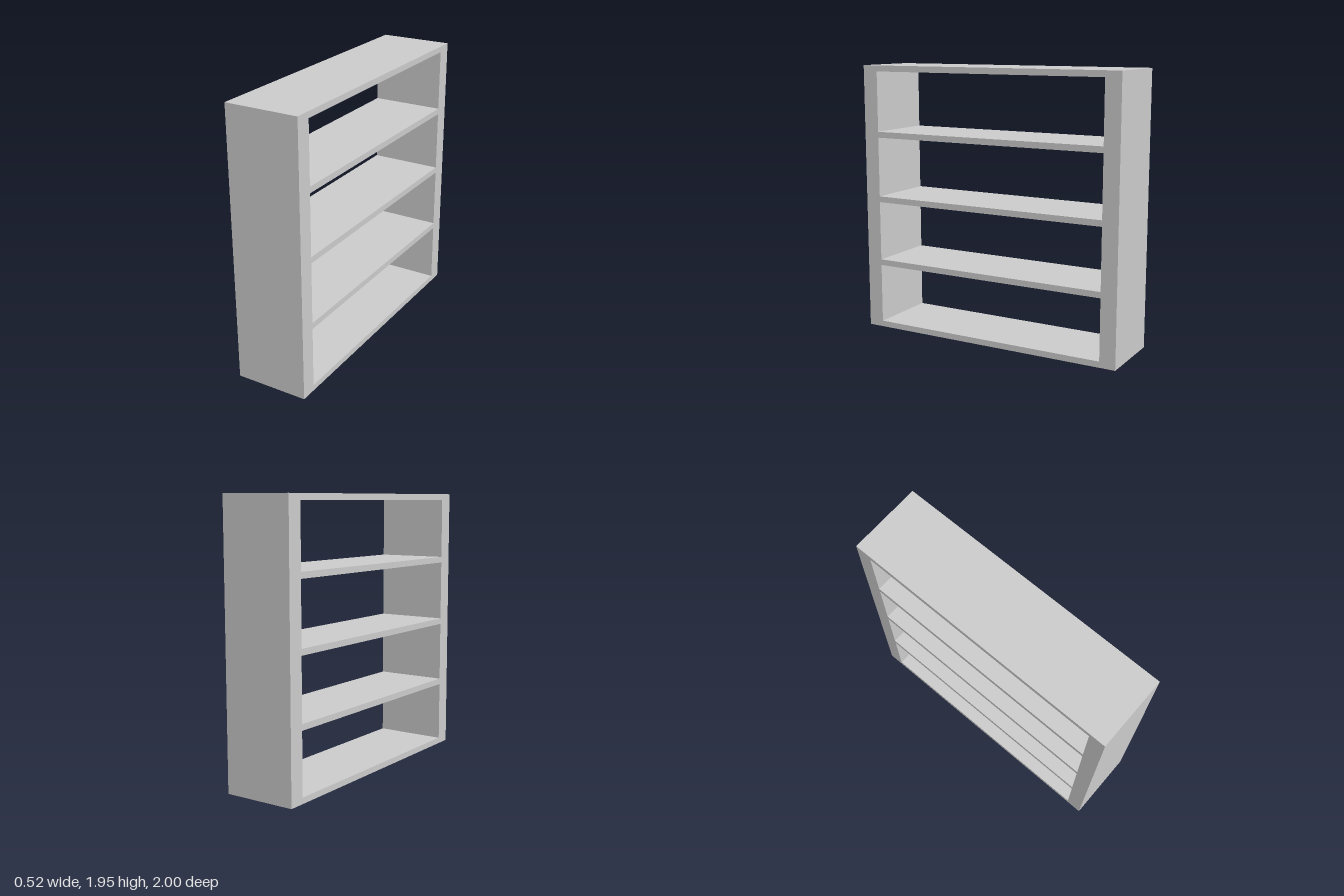
import * as THREE from 'three';

const W = 0.525, H = 1.95, D = 2;   // depth across x, height, length along z
const POST = 0.115;                 // thickness of the upright ends
const BOARD = 0.043;                // thickness of the boards
const INNER = D - 2 * POST;

export function createModel() {
  const group = new THREE.Group();
  const solid = new THREE.MeshStandardMaterial({ color: 0xcccccc });
  const sheet = new THREE.MeshStandardMaterial({ color: 0xcccccc, side: THREE.DoubleSide });

  const add = (name, geometry, material, x, y, z) => {
    const mesh = new THREE.Mesh(geometry, material);
    mesh.name = name;
    mesh.position.set(x, y, z);
    group.add(mesh);
    return mesh;
  };

  // top board over the full footprint
  add('topBoard', new THREE.BoxGeometry(W, BOARD, D), solid, 0, H - BOARD / 2, 0);

  // upright ends
  const postHeight = H - 2 * BOARD;
  for (const s of [-1, 1]) {
    add(s > 0 ? 'frontUpright' : 'backUpright',
      new THREE.BoxGeometry(W, postHeight, POST), solid, 0, H / 2, s * (D - POST) / 2);
  }

  // three evenly spaced shelves
  const step = (H - BOARD) / 4;
  for (let i = 1; i <= 3; i++) {
    add('shelf' + i, new THREE.BoxGeometry(W, BOARD, INNER), solid, 0, BOARD / 2 + i * step, 0);
  }

  // base: floor sheet on a shallow rim, hollow underneath
  add('floor', new THREE.PlaneGeometry(W, D).rotateX(-Math.PI / 2), sheet, 0, BOARD, 0);
  for (const s of [-1, 1]) {
    add('baseSideRim', new THREE.PlaneGeometry(D, BOARD).rotateY(s * Math.PI / 2),
      sheet, s * W / 2, BOARD / 2, 0);
    // outer end rim and the divider below the upright's inner face
    for (const [name, z] of [['baseEndRim', D / 2], ['baseDivider', INNER / 2]]) {
      add(name, new THREE.PlaneGeometry(W, BOARD).rotateY(s > 0 ? 0 : Math.PI),
        sheet, 0, BOARD / 2, s * z);
    }
  }

  return group;
}
